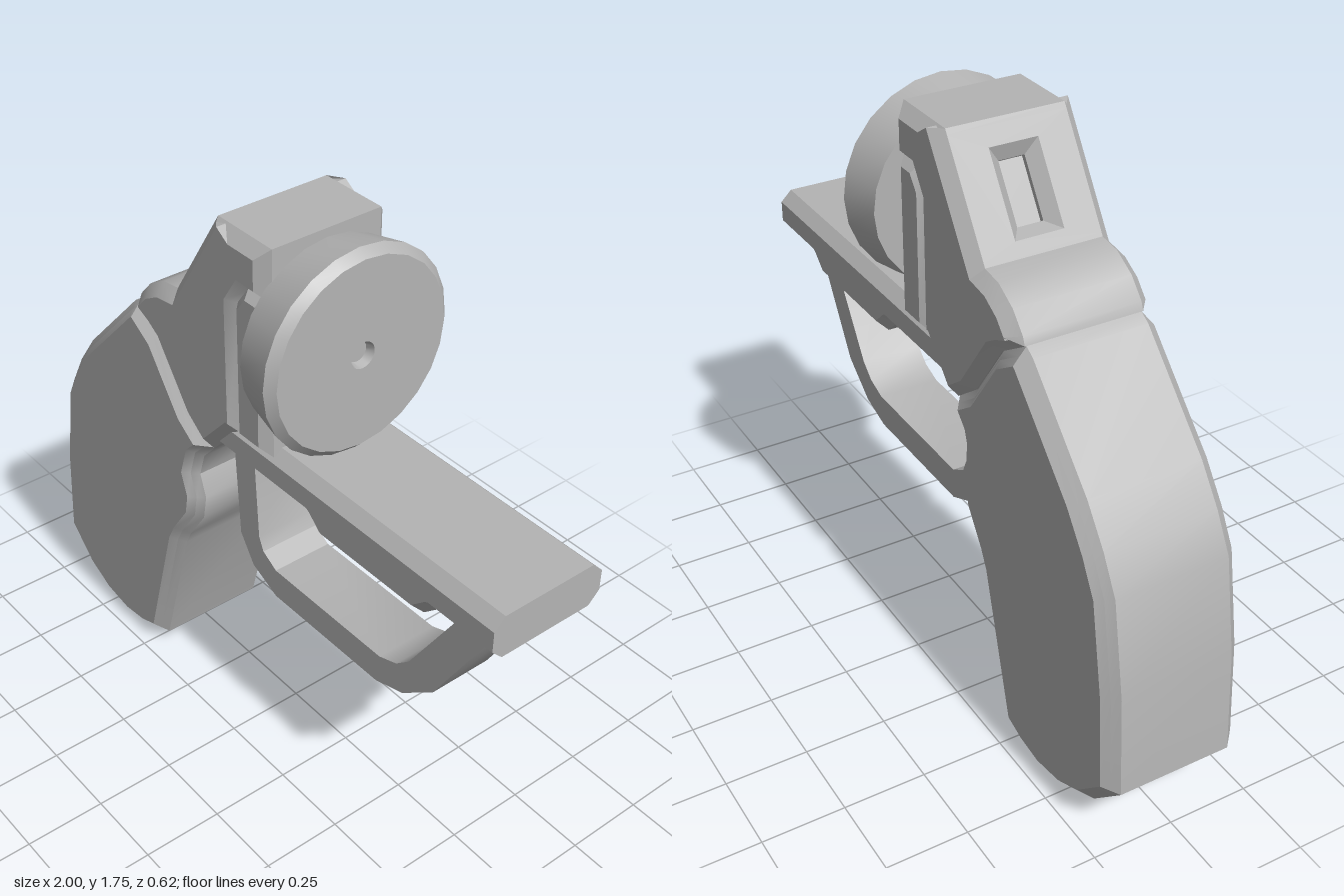
import * as THREE from 'three';
import { toCreasedNormals } from 'three/addons/utils/BufferGeometryUtils.js';

export function createModel() {
  const model = new THREE.Group();
  const grey = new THREE.MeshStandardMaterial({ color: 0xb4b4b4 });
  grey.name = 'plain grey';

  const add = (name, geometry) => {
    const mesh = new THREE.Mesh(toCreasedNormals(geometry, 0.5), grey);
    mesh.name = name;
    model.add(mesh);
    return mesh;
  };
  const outline = (pts, hole) => {
    const shape = new THREE.Shape(pts.map(p => new THREE.Vector2(...p)));
    if (hole) shape.holes.push(new THREE.Path(hole.map(p => new THREE.Vector2(...p))));
    return shape;
  };
  // Slab symmetric about z = 0, reaching z = +-half, with chamfered edges
  const slab = (pts, half, bevel = 0, offset = -bevel, hole) => {
    const depth = 2 * (half - bevel);
    return new THREE.ExtrudeGeometry(outline(pts, hole), {
      depth, bevelEnabled: bevel > 0, bevelSize: bevel, bevelThickness: bevel,
      bevelOffset: offset, bevelSegments: 1,
    }).translate(0, 0, -depth / 2);
  };

  // Grip: core, raised rim and inset side panels
  const seam = [[-0.495, 1.32], [-0.385, 1.25], [-0.25, 1.06], [-0.15, 0.985]];
  const grip = [
    [-0.457, 0.05], [-0.55, 0.018], [-0.65, 0.005], [-0.77, 0.025], [-0.88, 0.08], [-1, 0.2],
    [-0.98, 0.515], [-0.93, 0.81], [-0.87, 0.92], [-0.79, 1.03], [-0.527, 1.3], ...seam,
    [-0.21, 0.92], [-0.235, 0.84], [-0.21, 0.765], [-0.225, 0.68], [-0.3, 0.57], [-0.325, 0.52],
  ];
  const panel = [
    [-0.527, 1.195], [-0.3, 0.945], [-0.335, 0.875], [-0.33, 0.82], [-0.305, 0.745], [-0.325, 0.69],
    [-0.4, 0.6], [-0.52, 0.15], [-0.58, 0.125], [-0.66, 0.12], [-0.78, 0.147], [-0.895, 0.24],
    [-0.88, 0.5], [-0.845, 0.75], [-0.8, 0.88], [-0.72, 0.995],
  ];
  add('gripCore', slab(grip, 0.195, 0.02, -0.02));
  add('gripRim', slab(grip, 0.215, 0.02, -0.04, panel));
  add('gripPanel', slab(panel, 0.21, 0.01, 0));

  // Upper frame, notched at the rear slope and beside the front plates
  const low = new THREE.Vector2(-0.297, 1.45), high = new THREE.Vector2(-0.095, 1.76);
  const along = high.clone().sub(low), length = along.length();
  const u = along.clone().normalize(), n = new THREE.Vector2(-u.y, u.x);
  const onSlope = (s, d) => [low.x + u.x * s - n.x * d, low.y + u.y * s - n.y * d];
  const s0 = 0.012, s1 = length - 0.018;
  add('frame', slab([
    ...[...seam].reverse(), [-0.485, 1.345], [-0.435, 1.4], [-0.365, 1.44], [-0.297, 1.45],
    onSlope(s0, 0), onSlope(s0, 0.05), onSlope(s1, 0.05), onSlope(s1, 0),
    [-0.095, 1.76], [0.13, 1.76], [0.13, 1.6], [0.04, 1.6], [0, 1.54], [0, 1.115], [-0.03, 1.115],
  ], 0.215, 0.035));
  add('frameFrontPlate', slab([
    [-0.015, 1.115], [0.13, 1.115], [0.13, 1.615], [0.035, 1.615], [-0.015, 1.55],
  ], 0.21, 0.03));

  // Rear slope surround with a sunken rectangular pocket
  const a = s0, b = s1, w = 0.18;
  const surround = new THREE.ExtrudeGeometry(outline(
    [[a, -w], [b, -w], [b, w], [a, w]],
    [[a + 0.035, -0.075], [b - 0.055, -0.075], [b - 0.055, 0.075], [a + 0.035, 0.075]],
  ), { depth: 0.07, bevelSize: 0.035, bevelThickness: 0.035, bevelOffset: 0, bevelSegments: 1 });
  surround.translate(0, 0, -0.105);
  surround.applyMatrix4(new THREE.Matrix4().makeBasis(
    new THREE.Vector3(u.x, u.y, 0), new THREE.Vector3(0, 0, -1), new THREE.Vector3(n.x, n.y, 0),
  ).setPosition(low.x, low.y, 0));
  add('rearPocketSurround', surround);

  // Round front disc with a small centre recess
  const profile = [[0, 0.125], [0.283, 0.125], [0.31, 0.255], [0.285, 0.28],
    [0.04, 0.28], [0.032, 0.255], [0, 0.255]].map(p => new THREE.Vector2(...p));
  add('frontDisc', new THREE.LatheGeometry(profile, 24).rotateZ(-Math.PI / 2).translate(0, 1.45, 0));

  // Long rail with chamfered edges and a lug beneath
  const rail = new THREE.ExtrudeGeometry(outline([
    [-0.152, 1], [0.152, 1], [0.187, 1.035], [0.187, 1.1],
    [0.152, 1.135], [-0.152, 1.135], [-0.187, 1.1], [-0.187, 1.035],
  ]), { depth: 1.125, bevelEnabled: false });
  add('rail', rail.rotateY(Math.PI / 2).translate(-0.125, 0, 0));
  add('railLug', slab([
    [0.2, 1.07], [0.2, 1.035], [0.27, 1], [0.325, 0.95], [0.72, 0.95], [0.775, 1],
    [0.84, 1.035], [0.84, 1.07],
  ], 0.187, 0.035));

  // Angular guard loop under the rail
  add('guard', slab([
    [-0.165, 1.005], [-0.14, 0.64], [-0.08, 0.55], [0.03, 0.5], [0.49, 0.5], [0.6, 0.535],
    [0.72, 0.63], [0.94, 1.005], [0.83, 1.005], [0.62, 0.67], [0.57, 0.625], [0.5, 0.6],
    [0.03, 0.6], [-0.03, 0.635], [-0.05, 0.68], [-0.07, 1.005],
  ], 0.1));

  return model;
}
